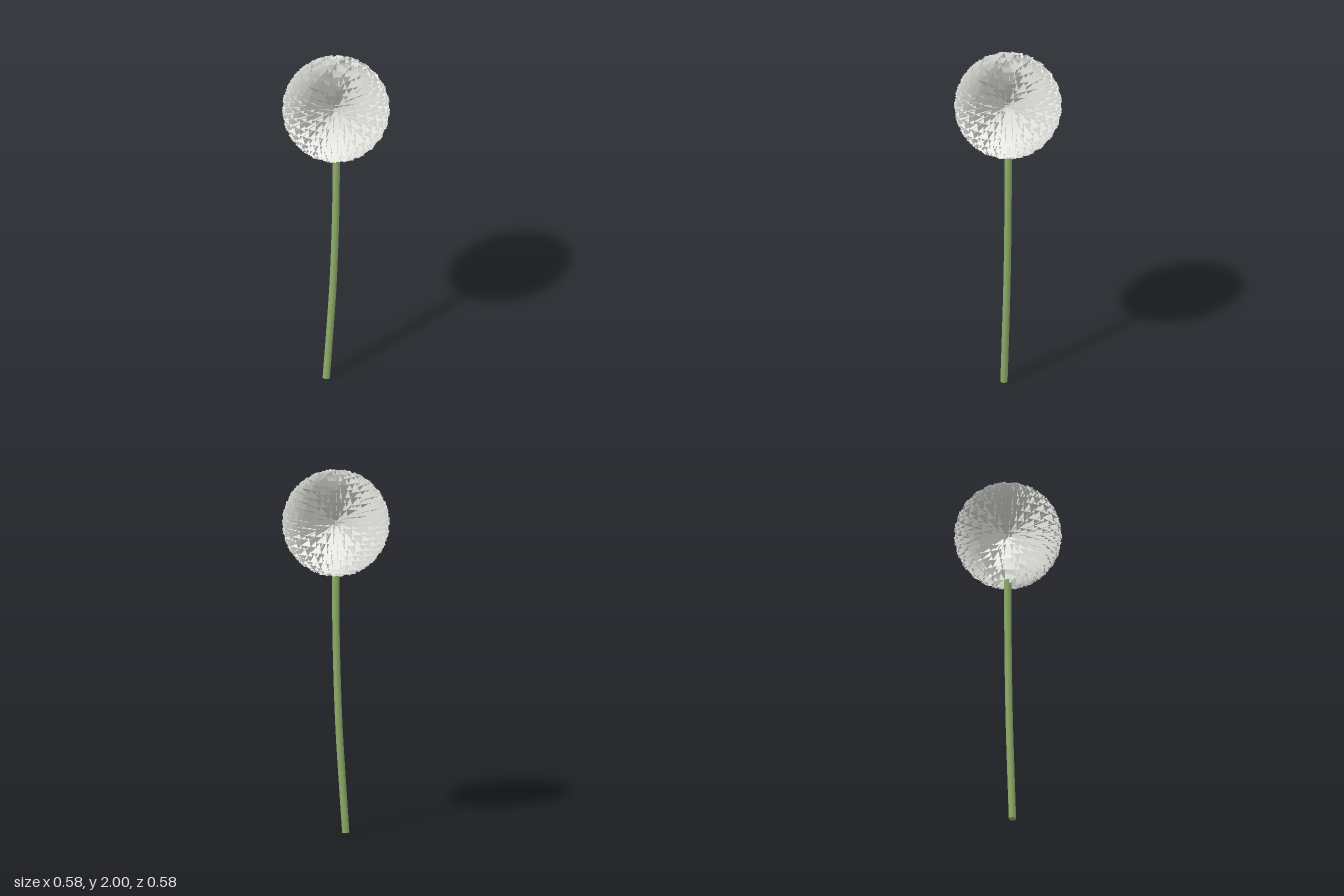
import * as THREE from 'three';
import { mergeGeometries } from 'three/addons/utils/BufferGeometryUtils.js';

const CENTRE_Y = 1.707;   // middle of the seed head
const SEED_COUNT = 200;
const SEED_LENGTH = 0.285;
const SEED_HALF_WIDTH = 0.066;

// One seed: two crossed triangles, apex at the origin, wide end at +z
function seedGeometry() {
  const w = SEED_HALF_WIDTH, l = SEED_LENGTH;
  const geometry = new THREE.BufferGeometry();
  geometry.setAttribute('position', new THREE.Float32BufferAttribute([
    0, 0, 0, w, 0, l, -w, 0, l,
    0, 0, 0, 0, w, l, 0, -w, l,
  ], 3));
  geometry.computeVertexNormals();
  return geometry;
}

// Seeds spread evenly over a sphere along a golden-angle spiral
function seedHeadGeometry() {
  const seed = seedGeometry();
  const pointer = new THREE.Object3D();
  const golden = Math.PI * (3 - Math.sqrt(5));
  const seeds = [];
  for (let i = 0; i < SEED_COUNT; i++) {
    const y = 1 - 2 * (i + 0.5) / SEED_COUNT;
    const r = Math.sqrt(1 - y * y);
    pointer.lookAt(r * Math.cos(i * golden), y, r * Math.sin(i * golden));
    pointer.updateMatrix();
    seeds.push(seed.clone().applyMatrix4(pointer.matrix));
  }
  return mergeGeometries(seeds);
}

export function createModel() {
  const seedWhite = new THREE.MeshStandardMaterial({ color: 0xe8e8e4, side: THREE.DoubleSide });
  seedWhite.name = 'seedWhite';
  const coreBeige = new THREE.MeshStandardMaterial({ color: 0xcfc3a5 });
  coreBeige.name = 'coreBeige';
  const stemGreen = new THREE.MeshStandardMaterial({ color: 0x8fae6a });
  stemGreen.name = 'stemGreen';

  const model = new THREE.Group();
  model.name = 'seedHeadFlower';
  const add = (name, geometry, material, parent = model) => {
    const mesh = new THREE.Mesh(geometry, material);
    mesh.name = name;
    parent.add(mesh);
    return mesh;
  };

  // Gently bent stem, running up into the core
  const path = new THREE.CatmullRomCurve3([
    [-0.057, 0.002], [-0.036, 0.3], [-0.017, 0.6], [-0.003, 1], [0.001, 1.3], [0, 1.66],
  ].map(([x, y]) => new THREE.Vector3(x, y, 0)));
  add('stem', new THREE.TubeGeometry(path, 24, 0.021, 8), stemGreen);
  const cap = add('stemEnd', new THREE.CircleGeometry(0.021, 8), stemGreen);
  cap.position.copy(path.getPoint(0));
  cap.lookAt(cap.position.clone().sub(path.getTangent(0)));

  // Round head: solid core inside a shell of seeds
  const head = new THREE.Group();
  head.name = 'head';
  head.position.y = CENTRE_Y;
  model.add(head);
  add('core', new THREE.SphereGeometry(0.09, 24, 16), coreBeige, head);
  add('seeds', seedHeadGeometry(), seedWhite, head);

  return model;
}
